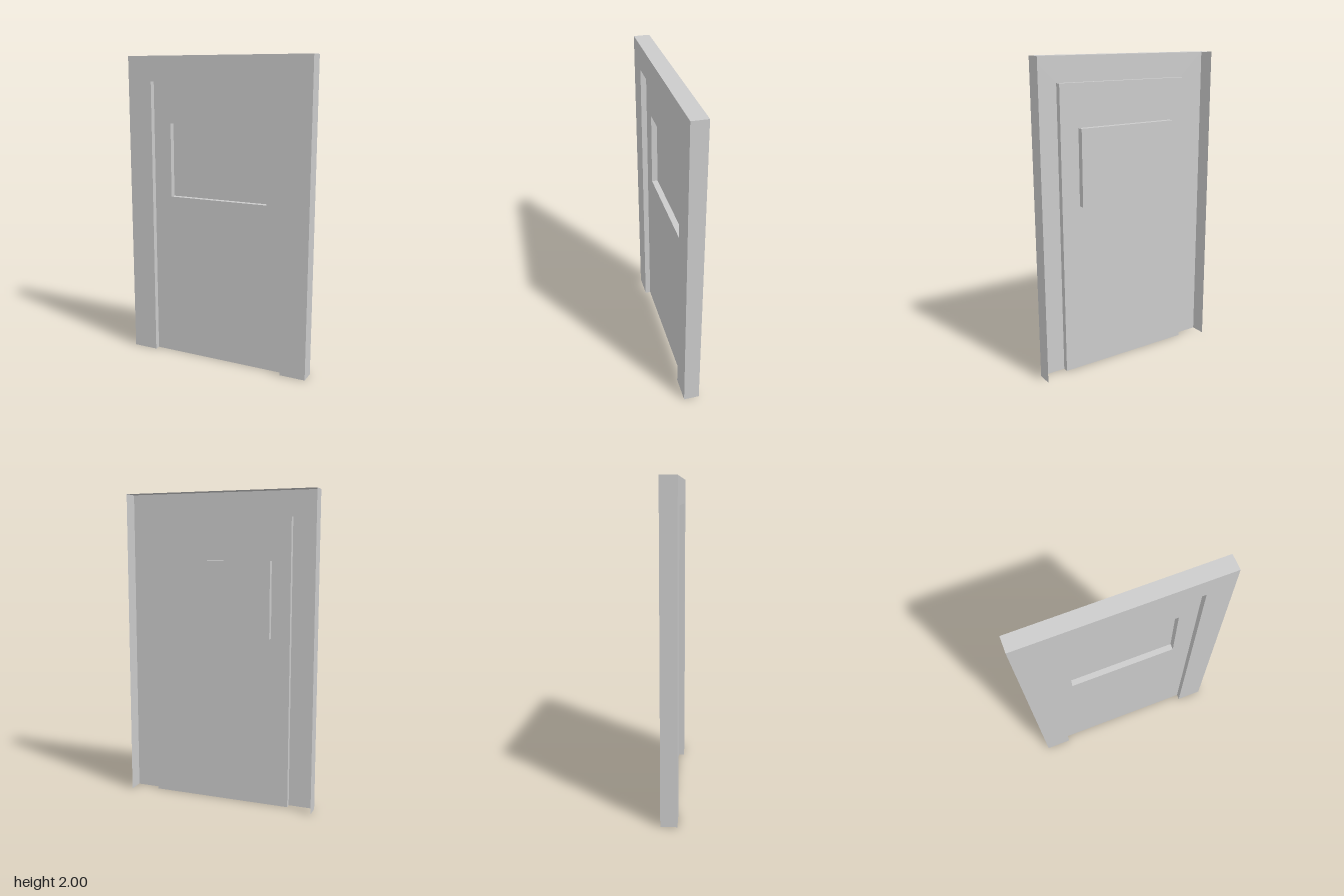
import * as THREE from 'three';

const W = 0.632, H = 2;                       // frame half width, height
const DW = 0.463, DH = 1.84;                  // door half width, height
const PW = 0.341, P0 = 1.09, P1 = 1.573;      // window half width, bottom, top
const FRONT = 0.05, BACK = -0.05, DOOR = 0.014, PANE = -0.024;

const material = new THREE.MeshStandardMaterial({
  color: 0xcccccc, flatShading: true, side: THREE.DoubleSide,
});

const points = (list) => list.map(([x, y]) => new THREE.Vector2(x, y));
const rect = (w, y0, y1) => points([[-w, y0], [w, y0], [w, y1], [-w, y1]]);
const arch = (w, h) => points([[-w, 0], [-w, h], [w, h], [w, 0]]);

export function createModel() {
  const group = new THREE.Group();

  const add = (name, geometry) => {
    const mesh = new THREE.Mesh(geometry, material);
    mesh.name = name;
    group.add(mesh);
  };

  // Flat sheet facing the front
  const sheet = (name, outline, z, hole) => {
    const shape = new THREE.Shape(outline);
    if (hole) shape.holes.push(new THREE.Path(hole));
    add(name, new THREE.ShapeGeometry(shape).translate(0, 0, z));
  };

  // Thin walls following an outline between two depths
  const walls = (name, outline, z0, z1) => {
    const position = [];
    for (let i = 0; i < outline.length - 1; i++) {
      const a = outline[i], b = outline[i + 1];
      position.push(
        a.x, a.y, z0, b.x, b.y, z0, b.x, b.y, z1,
        a.x, a.y, z0, b.x, b.y, z1, a.x, a.y, z1,
      );
    }
    const geometry = new THREE.BufferGeometry();
    geometry.setAttribute('position', new THREE.Float32BufferAttribute(position, 3));
    geometry.computeVertexNormals();
    add(name, geometry);
  };

  // Frame: front sheet around the doorway, with outer sides and top, open at the back
  sheet('frameFront', [...arch(W, H), ...arch(DW, DH).reverse()], FRONT);
  walls('frameSides', arch(W, H), BACK, FRONT);

  // Recessed door leaf with its reveal
  const pane = rect(PW, P0, P1);
  walls('doorReveal', arch(DW, DH), DOOR, FRONT);
  sheet('door', arch(DW, DH), DOOR, pane);

  // Window pane set deeper into the door
  walls('windowReveal', [...pane, pane[0]], DOOR, PANE);
  sheet('windowPane', pane, PANE);

  return group;
}
